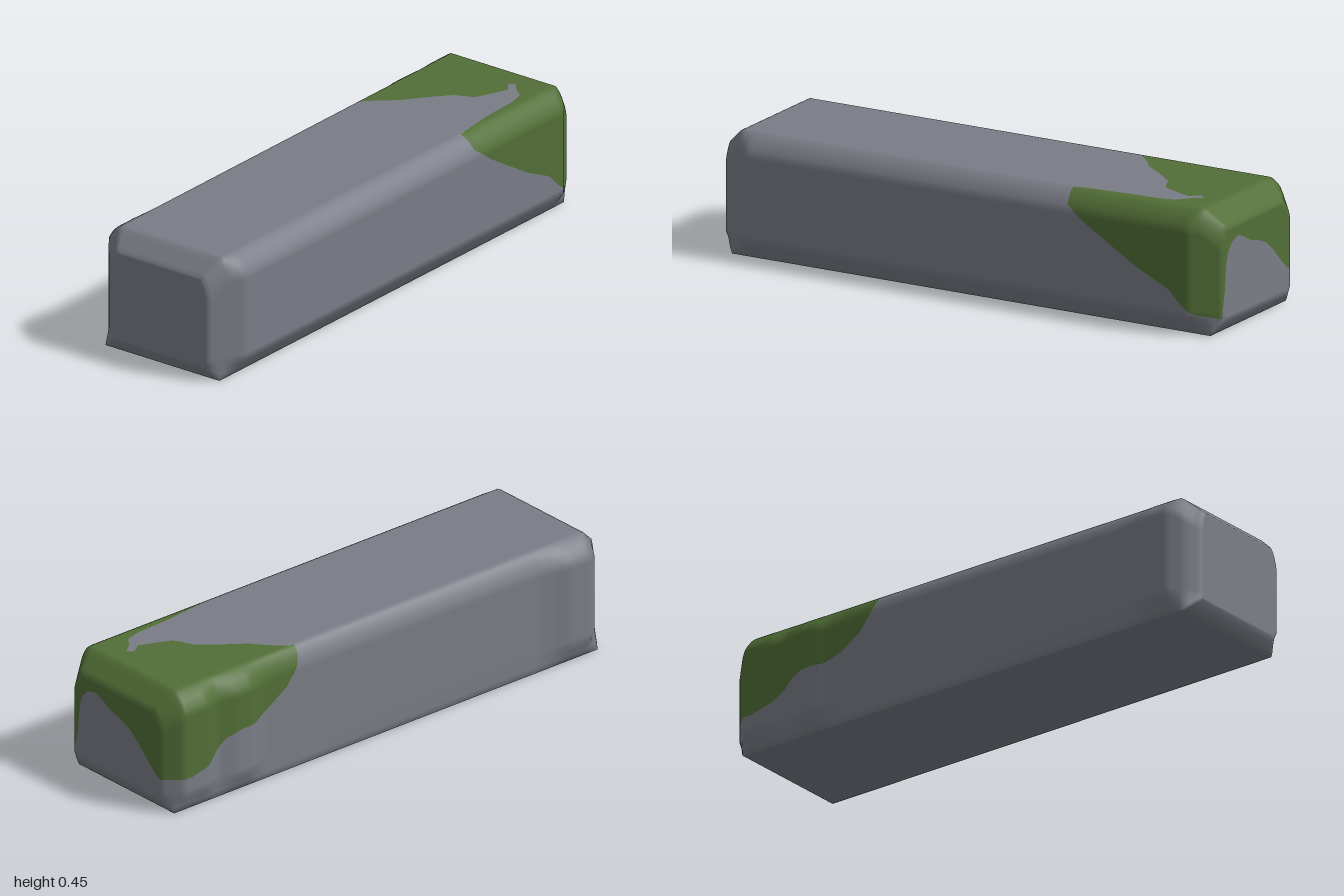
import * as THREE from 'three';

// Piecewise-linear curve through [input, output] pairs
const curve = (...pts) => (v) => {
  if (v <= pts[0][0]) return pts[0][1];
  for (let i = 1; i < pts.length; i++) {
    const [a, fa] = pts[i - 1], [b, fb] = pts[i];
    if (v <= b) return fa + (fb - fa) * (v - a) / (b - a);
  }
  return pts[pts.length - 1][1];
};

// Block outline along x: bevelled ends and a lumpy back
const baseY = curve([-1, 0.05], [-0.965, 0], [0.965, 0], [1, 0.05]);
const topY = curve([-1, 0.385], [-0.93, 0.448], [0.93, 0.448], [1, 0.38]);
const topHalf = curve([-1, 0.185], [-0.93, 0.22], [0.93, 0.225], [1, 0.19]);
const frontZ = curve([-1, 0.215], [-0.88, 0.283], [0.9, 0.285], [1, 0.22]);
const backZ = curve([-1, -0.2], [-0.96, -0.25], [-0.91, -0.288], [-0.82, -0.288], [-0.76, -0.272], [-0.7, -0.264],
  [0.53, -0.262], [0.58, -0.27], [0.63, -0.287], [0.69, -0.287], [0.77, -0.27], [0.83, -0.288], [0.94, -0.288], [1, -0.232]);
const baseFront = curve([-1, 0.2], [-0.965, 0.235], [0.965, 0.237], [1, 0.21]);
const baseBack = curve([-1, -0.2], [-0.965, -0.262], [0.965, -0.262], [1, -0.22]);

// Moss edges: height on front, back and end; two z limits on top
const mossFront = curve([0.38, 0.6], [0.41, 0.4], [0.5, 0.335], [0.6, 0.275], [0.7, 0.215], [0.82, 0.16],
  [0.87, 0.11], [0.91, 0.08], [1, 0.06]);
const mossBack = curve([0.37, 0.6], [0.39, 0.4], [0.45, 0.32], [0.53, 0.27], [0.6, 0.24], [0.68, 0.24],
  [0.74, 0.22], [0.82, 0.15], [0.9, 0.13], [1, 0.13]);
const mossEnd = curve([-0.29, 0.14], [-0.24, 0.127], [-0.21, 0.14], [-0.17, 0.175], [-0.12, 0.225], [-0.07, 0.265],
  [-0.02, 0.285], [0.035, 0.3], [0.07, 0.32], [0.11, 0.337], [0.15, 0.325], [0.175, 0.3], [0.19, 0.27],
  [0.197, 0.22], [0.205, 0.12], [0.22, 0.075], [0.24, 0.062]);
const mossTopBack = curve([0.36, -0.5], [0.39, -0.24], [0.46, -0.17], [0.5, -0.12], [0.58, -0.06], [0.65, 0],
  [0.68, 0.07], [0.75, 0.1], [0.8, 0.12], [0.84, 0.09], [0.87, 0.12]);
const mossTopFront = curve([0.38, 0.5], [0.42, 0.22], [0.6, 0.2], [0.73, 0.195], [0.79, 0.18], [0.82, 0.14], [0.86, 0.11]);

// Positive where moss grows
const mossRule = {
  base: () => -1,
  front: (p) => p.y - mossFront(p.x),
  back: (p) => p.y - mossBack(p.x),
  top: (p) => Math.max(mossTopBack(p.x) - p.z, p.z - mossTopFront(p.x)),
  end: (p) => p.y - mossEnd(p.z),
};

// One cross-section: base, front wall, rounded shoulder, top, shoulder, back wall
function section(x) {
  const pts = [], sides = [];
  const y0 = baseY(x), yT = topY(x), zT = topHalf(x), zF = frontZ(x), zB = backZ(x);
  const yS = yT - 0.07, yL = Math.max(0.07, y0 + 0.02);
  const run = (side, steps, a, b, corner) => {
    for (const t of steps) {
      // a rounded run leans part of the way towards the corner
      const c = corner ? [0, 1].map((k) => (a[k] + b[k]) / 2 * 0.6 + corner[k] * 0.4) : null;
      const [z, y] = [0, 1].map((k) => c
        ? (1 - t) ** 2 * a[k] + 2 * t * (1 - t) * c[k] + t * t * b[k]
        : a[k] + (b[k] - a[k]) * t);
      pts.push(new THREE.Vector3(x, y, z));
      sides.push(side);
    }
  };
  const even = (n) => Array.from({ length: n }, (_, i) => i / n);
  const bB = [baseBack(x), y0], bF = [baseFront(x), y0];
  run('base', [0, 0.02, 0.5, 0.98], bB, bF);
  run('front', even(3), bF, [zF, yL]);
  run('front', even(20), [zF, yL], [zF, yS]);
  run('front', even(6), [zF, yS], [zT, yT], [zF, yT]);
  run('top', even(36), [zT, yT], [-zT, yT]);
  run('back', even(6), [-zT, yT], [zB, yS], [zB, yT]);
  run('back', even(20), [zB, yS], [zB, yL]);
  run('back', even(3), [zB, yL], bB);
  return { pts, sides };
}

// Rings from one end cap, along the block, to the other end cap
function buildRings() {
  const rings = [];
  const capRing = (x, scale) => {
    const { pts, sides } = section(x);
    const centre = new THREE.Vector3(x, 0.215, 0);
    return { pts: pts.map((p) => p.sub(centre).multiplyScalar(scale).add(centre)), sides: sides.map(() => 'end') };
  };
  for (const s of [0, 0.5, 0.95]) rings.push(capRing(-1, s));
  const steps = 160;
  for (let i = 0; i <= steps; i++) rings.push(section(-1 + 2 * i / steps));
  rings[rings.length - 1].sides.fill('end');
  for (let i = 24; i-- > 0;) rings.push(capRing(1, i / 25));
  return rings;
}

// Split a triangle along the moss edge, keeping the side with positive value
function clip(tri, values, sign, out) {
  const poly = [];
  for (let i = 0; i < 3; i++) {
    const j = (i + 1) % 3, a = values[i] * sign, b = values[j] * sign;
    if (a >= 0) poly.push(tri[i]);
    if ((a >= 0) !== (b >= 0)) {
      const t = a / (a - b);
      poly.push({ p: tri[i].p.clone().lerp(tri[j].p, t), n: tri[i].n.clone().lerp(tri[j].n, t).normalize() });
    }
  }
  for (let i = 2; i < poly.length; i++) {
    for (const v of [poly[0], poly[i - 1], poly[i]]) {
      out.position.push(v.p.x, v.p.y, v.p.z);
      out.normal.push(v.n.x, v.n.y, v.n.z);
    }
  }
}

function toMesh(data, color, name) {
  const g = new THREE.BufferGeometry();
  for (const key of ['position', 'normal']) g.setAttribute(key, new THREE.Float32BufferAttribute(data[key], 3));
  const material = new THREE.MeshStandardMaterial({ color });
  material.name = name;
  const mesh = new THREE.Mesh(g, material);
  mesh.name = name;
  return mesh;
}

export function createModel() {
  const rings = buildRings(), n = rings[0].pts.length;
  const index = [], faceSides = [];
  for (let i = 0; i < rings.length - 1; i++) {
    for (let j = 0; j < n; j++) {
      const k = (j + 1) % n;
      const a = i * n + j, b = a + n, c = (i + 1) * n + k, d = i * n + k;
      index.push(a, b, c, a, c, d);
      faceSides.push(rings[i].sides[j], rings[i].sides[j]);
    }
  }
  // Smooth normals over the whole block before it is split by colour
  const points = rings.flatMap((r) => r.pts);
  const whole = new THREE.BufferGeometry().setFromPoints(points);
  whole.setIndex(index);
  whole.computeVertexNormals();
  const normals = whole.getAttribute('normal');
  const verts = points.map((p, i) => ({ p, n: new THREE.Vector3().fromBufferAttribute(normals, i) }));

  const stone = { position: [], normal: [] }, moss = { position: [], normal: [] };
  faceSides.forEach((side, f) => {
    const tri = [0, 1, 2].map((k) => verts[index[f * 3 + k]]);
    const values = tri.map((v) => (v.p.x < 0.3 ? -1 : mossRule[side](v.p)));
    clip(tri, values, -1, stone);
    clip(tri, values, 1, moss);
  });

  const group = new THREE.Group();
  group.name = 'mossyStoneBlock';
  group.add(toMesh(stone, 0x7a7d86, 'stone'), toMesh(moss, 0x526f37, 'moss'));
  return group;
}
